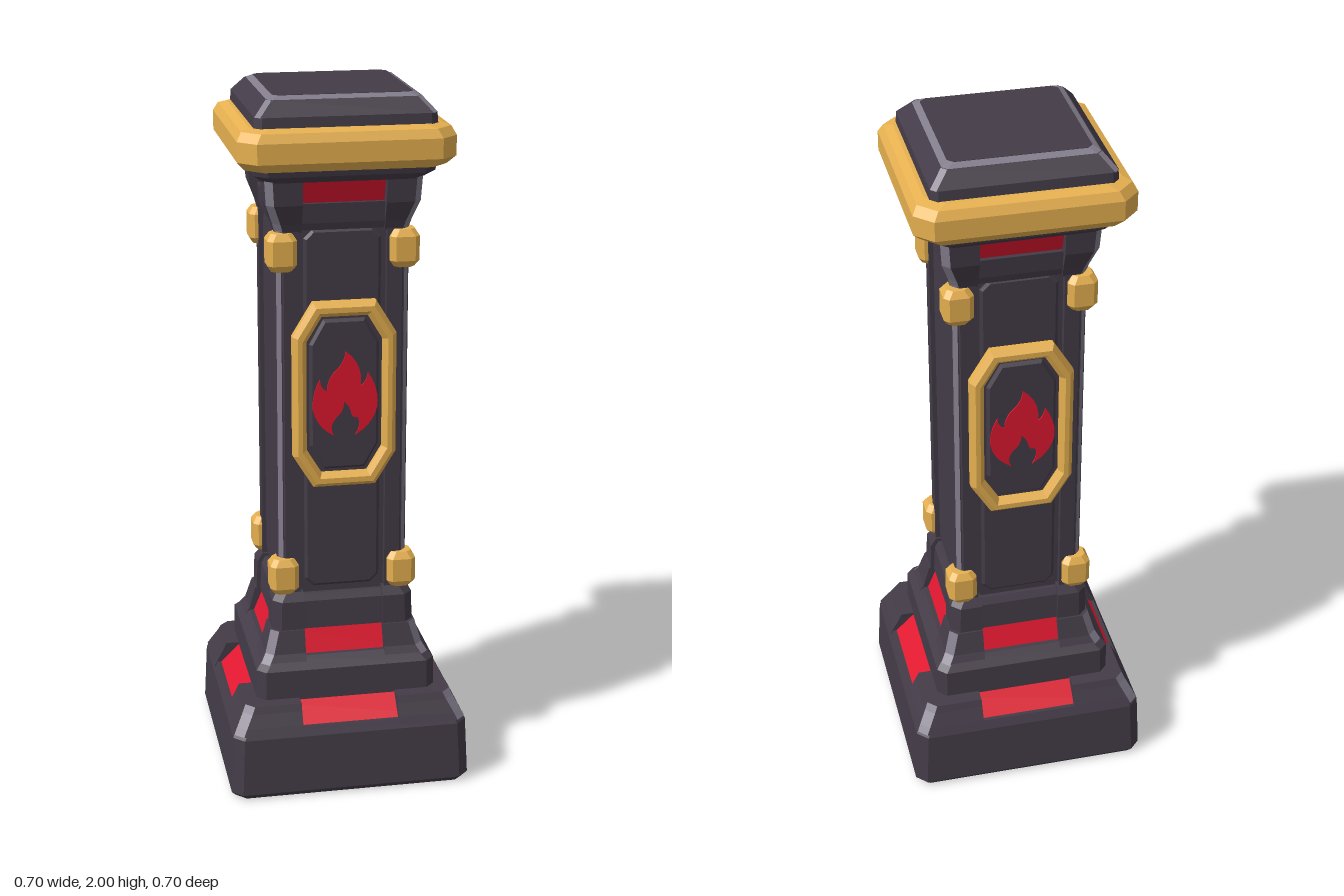
import * as THREE from 'three';

const mat = (name, color) => {
  const m = new THREE.MeshStandardMaterial({ color });
  m.name = name;
  return m;
};

// Cross-sections, ordered from +x towards +z
const octagon = (h, c) => [
  [h, -h + c], [h, h - c], [h - c, h], [-h + c, h],
  [-h, h - c], [-h, -h + c], [-h + c, -h], [h - c, -h],
];
const cornerSection = (h, c, n) => [[h, n], [h, h - c], [h - c, h], [n, h], [n, n]];

// Flat-faced loft through [y, points] sections; sides listed in edgeSides use material 1
function loft(sections, edgeSides = []) {
  const faces = [[], []];
  const put = (list, ...pts) => pts.forEach((p) => list.push(...p));
  const at = ([y, pts], i) => {
    const p = pts[i % pts.length];
    return [p[0], y, p[1]];
  };
  const n = sections[0][1].length;
  for (let s = 0; s < sections.length - 1; s++) {
    const lo = sections[s], hi = sections[s + 1];
    for (let i = 0; i < n; i++) {
      const list = faces[edgeSides.includes(i) ? 1 : 0];
      put(list, at(lo, i), at(hi, i), at(hi, i + 1));
      put(list, at(lo, i), at(hi, i + 1), at(lo, i + 1));
    }
  }
  const bottom = sections[0], top = sections[sections.length - 1];
  for (let i = 1; i < n - 1; i++) {
    put(faces[0], at(bottom, 0), at(bottom, i), at(bottom, i + 1));
    put(faces[0], at(top, 0), at(top, i + 1), at(top, i));
  }
  const g = new THREE.BufferGeometry();
  g.setAttribute('position', new THREE.Float32BufferAttribute([...faces[0], ...faces[1]], 3));
  g.addGroup(0, faces[0].length / 3, 0);
  if (faces[1].length) g.addGroup(faces[0].length / 3, faces[1].length / 3, 1);
  g.computeVertexNormals();
  return g;
}

// Tall octagon outline for panels and medallions
function tallOctagon(w, h, cx, cy) {
  return [
    [w, -h + cy], [w, h - cy], [w - cx, h], [-w + cx, h],
    [-w, h - cy], [-w, -h + cy], [-w + cx, -h], [w - cx, -h],
  ].map(([x, y]) => new THREE.Vector2(x, y));
}

export function createModel() {
  const root = new THREE.Group();
  root.name = 'pillar';
  const stone = mat('dark stone', 0x443c48);
  const edge = mat('worn edge', 0x827c8b);
  const gold = mat('gold', 0xf0b854);
  const red = mat('glowing red', 0xe0182f);

  const add = (parent, name, geometry, material) => {
    const m = new THREE.Mesh(geometry, material);
    m.name = name;
    parent.add(m);
    return m;
  };
  // Square tier with cut corners from [y, halfWidth] steps
  const tier = (name, steps, cut, main, edgeSides = []) =>
    add(root, name, loft(steps.map(([y, h]) => [y, octagon(h, cut)]), edgeSides), [main, edge]);
  // Four corner blocks leaving a notch in the middle of every side
  const corners = (name, steps, cut, notch, edgeSides = [1]) => {
    const g = loft(steps.map(([y, h]) => [y, cornerSection(h, cut, notch)]), edgeSides);
    for (let i = 0; i < 4; i++) add(root, name, g, [stone, edge]).rotation.y = i * Math.PI / 2;
  };

  // Stepped base with red slopes showing in the notches
  tier('basePlinth', [[0, 0.338], [0.015, 0.349], [0.185, 0.341], [0.21, 0.328]], 0.03, stone);
  tier('baseGlow', [[0.205, 0.322], [0.264, 0.262]], 0.02, red);
  corners('baseCorner', [[0.195, 0.338], [0.215, 0.328], [0.25, 0.309], [0.27, 0.3]], 0.025, 0.14);
  tier('lowerStep', [[0.21, 0.262], [0.355, 0.26], [0.388, 0.23]], 0.025, stone);
  tier('stepGlow', [[0.38, 0.22], [0.46, 0.187]], 0.02, red);
  corners('stepCorner', [[0.37, 0.245], [0.395, 0.23], [0.46, 0.212]], 0.022, 0.115);

  // Collar between base and shaft
  tier('collar', [[0.457, 0.196], [0.54, 0.192], [0.56, 0.18]], 0.03, stone);
  corners('collarCorner', [[0.455, 0.207], [0.545, 0.204], [0.57, 0.188]], 0.025, 0.115, []);

  // Shaft with corner posts and an inset panel on each side
  tier('shaftCore', [[0.54, 0.168], [1.66, 0.168]], 0.04, stone);
  corners('cornerPost', [[0.55, 0.187], [1.65, 0.187]], 0.022, 0.122, []);
  corners('postEdge', [[0.56, 0.1835], [1.64, 0.1835]], 0.012, 0.165);
  const panelShape = new THREE.Shape(tallOctagon(0.1, 0.517, 0.02, 0.02));
  const panelGeo = new THREE.ExtrudeGeometry(panelShape, {
    depth: 0.008, bevelThickness: 0.006, bevelSize: 0.008, bevelSegments: 1,
  });
  panelGeo.translate(0, 1.105, 0.164);
  for (let i = 0; i < 4; i++) add(root, 'sidePanel', panelGeo, stone).rotation.y = i * Math.PI / 2;

  // Gold studs clasping the post ends
  const stud = loft([[-0.053, 0.029], [-0.034, 0.041], [0.034, 0.041], [0.053, 0.029]]
    .map(([y, h]) => [y, octagon(h, 0.014)]));
  for (const y of [0.623, 1.573])
    for (const x of [-1, 1])
      for (const z of [-1, 1]) add(root, 'cornerStud', stud, gold).position.set(x * 0.17, y, z * 0.17);

  // Capital with red insets leaning out under the flare
  tier('capital', [[1.63, 0.182], [1.65, 0.187], [1.705, 0.192]], 0.03, stone);
  tier('capitalGlow', [[1.7, 0.177], [1.775, 0.202]], 0.03, red);
  corners('capitalCorner', [[1.625, 0.186], [1.65, 0.193], [1.705, 0.213], [1.785, 0.218]], 0.02, 0.115);
  tier('capitalFlare', [[1.77, 0.222], [1.79, 0.247], [1.83, 0.255]], 0.035, stone);

  // Gold band and bevelled cap
  tier('goldBand', [[1.81, 0.274], [1.835, 0.296], [1.89, 0.296], [1.914, 0.283], [1.922, 0.26]], 0.047, gold);
  tier('capBlock', [[1.91, 0.25], [1.95, 0.247]], 0.02, stone);
  tier('capSlope', [[1.95, 0.247], [1.99, 0.211]], 0.014, stone, [1, 3, 5, 7]);
  const rim = octagon(0.211, 0.014), rimTop = octagon(0.192, 0.014);
  add(root, 'capEdge', loft([[1.989, rim], [1.999, rimTop]]), edge);
  tier('capTop', [[1.99, 0.191], [2.0, 0.191]], 0.016, stone);

  // Medallions on the front and back
  const frame = new THREE.Shape(tallOctagon(0.133, 0.255, 0.052, 0.085));
  frame.holes.push(new THREE.Path(tallOctagon(0.12, 0.24, 0.048, 0.08).reverse()));
  const frameGeo = new THREE.ExtrudeGeometry(frame, {
    depth: 0.02, bevelThickness: 0.015, bevelSize: 0.013, bevelSegments: 1,
  });
  const plateGeo = new THREE.ExtrudeGeometry(
    new THREE.Shape(tallOctagon(0.09, 0.21, 0.036, 0.064)),
    { depth: 0.012, bevelThickness: 0.009, bevelSize: 0.008, bevelSegments: 1 });
  const backGeo = new THREE.ExtrudeGeometry(
    new THREE.Shape(tallOctagon(0.125, 0.245, 0.048, 0.08)), { depth: 0.02, bevelEnabled: false });

  // Flame with side tongues and a hollow at the foot
  const f = new THREE.Shape();
  f.moveTo(0.002, 0.127);
  f.quadraticCurveTo(0.052, 0.09, 0.046, 0.025);
  f.quadraticCurveTo(0.062, 0.035, 0.066, 0.064);
  f.quadraticCurveTo(0.1, 0.01, 0.092, -0.04);
  f.quadraticCurveTo(0.08, -0.09, 0.03, -0.118);
  f.quadraticCurveTo(0.05, -0.088, 0.036, -0.066);
  f.quadraticCurveTo(0.02, -0.07, 0.018, -0.05);
  f.quadraticCurveTo(0.012, -0.03, -0.002, -0.018);
  f.quadraticCurveTo(0, -0.045, -0.026, -0.068);
  f.quadraticCurveTo(-0.046, -0.09, -0.03, -0.118);
  f.quadraticCurveTo(-0.08, -0.09, -0.09, -0.04);
  f.quadraticCurveTo(-0.094, 0.005, -0.07, 0.048);
  f.quadraticCurveTo(-0.068, 0.02, -0.05, 0.014);
  f.quadraticCurveTo(-0.05, 0.05, -0.022, 0.075);
  f.quadraticCurveTo(0, 0.095, 0.002, 0.127);
  const flameGeo = new THREE.ExtrudeGeometry(f, { depth: 0.008, bevelEnabled: false, curveSegments: 5 });

  for (const turn of [0, Math.PI]) {
    const medallion = new THREE.Group();
    medallion.name = turn ? 'backMedallion' : 'frontMedallion';
    medallion.rotation.y = turn;
    add(medallion, 'medallionFrame', frameGeo, gold).position.set(0, 1.166, 0.191);
    add(medallion, 'medallionBack', backGeo, stone).position.set(0, 1.166, 0.18);
    add(medallion, 'medallionPlate', plateGeo, stone).position.set(0, 1.166, 0.19);
    add(medallion, 'flame', flameGeo, red).position.set(0, 1.166, 0.207);
    root.add(medallion);
  }
  return root;
}
